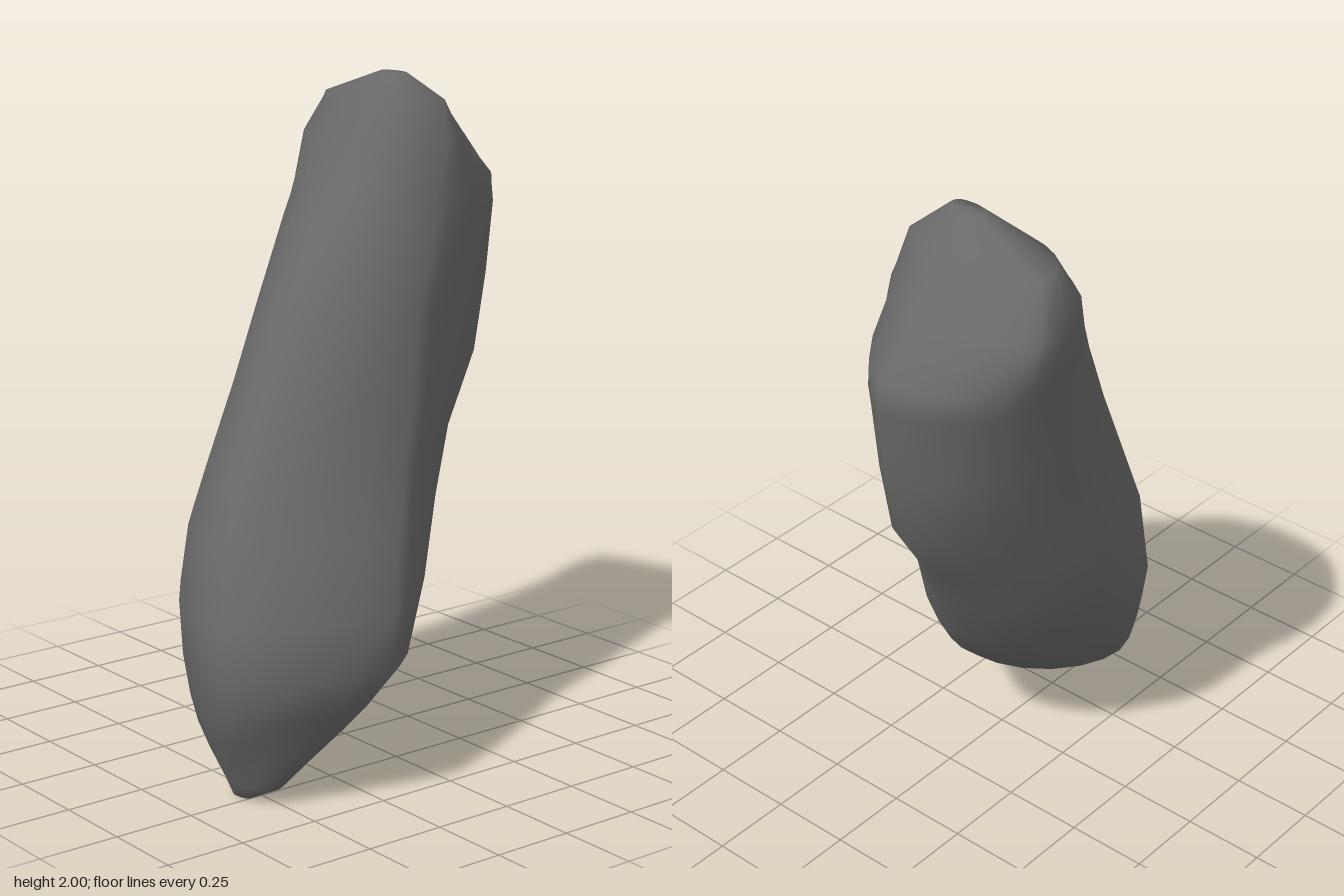
import * as THREE from 'three';

// Horizontal sections from top to bottom. Each row holds the height and the
// section's leftmost, front, rightmost and back points:
// y,  x,z (-x side),  x,z (front),  x,z (+x side),  x,z (back)
const SECTIONS = [
  [2.00, -0.17, -0.28, -0.12, -0.25, -0.06, -0.28, -0.11, -0.30],
  [1.92, -0.44, -0.33, -0.17, -0.175, 0.03, -0.35, -0.14, -0.41],
  [1.80, -0.53, -0.42, -0.17, -0.09, 0.07, -0.34, -0.16, -0.545],
  [1.66, -0.515, -0.415, -0.11, 0.01, 0.12, -0.25, -0.17, -0.69],
  [1.57, -0.495, -0.38, -0.08, 0.09, 0.15, -0.21, -0.16, -0.695],
  [1.35, -0.475, -0.30, -0.01, 0.265, 0.23, -0.09, -0.15, -0.665],
  [1.13, -0.455, -0.18, 0.06, 0.395, 0.285, -0.03, -0.17, -0.635],
  [0.92, -0.45, -0.07, 0.13, 0.525, 0.34, 0.05, -0.14, -0.49],
  [0.75, -0.44, 0.01, 0.18, 0.625, 0.42, 0.13, -0.10, -0.40],
  [0.55, -0.395, 0.13, 0.25, 0.695, 0.50, 0.21, -0.05, -0.30],
  [0.40, -0.33, 0.20, 0.27, 0.70, 0.53, 0.25, 0.00, -0.19],
  [0.28, -0.28, 0.24, 0.27, 0.68, 0.47, 0.32, 0.04, -0.07],
  [0.20, -0.20, 0.32, 0.25, 0.65, 0.43, 0.39, 0.08, 0.05],
  [0.13, -0.04, 0.42, 0.22, 0.62, 0.39, 0.45, 0.12, 0.18],
  [0.05, 0.12, 0.51, 0.21, 0.585, 0.345, 0.51, 0.19, 0.37],
  [0.00, 0.17, 0.54, 0.20, 0.56, 0.25, 0.54, 0.20, 0.52],
];
const ARC = 6; // steps per quarter of a section
const RING = ARC * 4;

// How full each corner is (left-front, front-right, right-back, back-left):
// the body has flat long sides, the head is boxier
const BODY = [0.38, 0.7, 0.2, 0.6];
const HEAD = [0.9, 1.2, 0.45, 0.65];

// Outline of a section: four conic arcs that bend towards its box corners
function sectionPoints([y, ...p]) {
  const points = [];
  const head = THREE.MathUtils.smoothstep(y, 1.3, 1.92);
  for (let q = 0; q < 4; q++) {
    const n = (q + 1) % 4;
    const a = [p[q * 2], p[q * 2 + 1]];
    const b = [p[n * 2], p[n * 2 + 1]];
    const corner = q % 2 === 0 ? [a[0], b[1]] : [b[0], a[1]];
    const weight = THREE.MathUtils.lerp(BODY[q], HEAD[q], head);
    for (let i = 0; i < ARC; i++) {
      const t = i / ARC;
      const wa = (1 - t) ** 2, wc = 2 * t * (1 - t) * weight, wb = t * t;
      const [x, z] = [0, 1].map((k) =>
        (wa * a[k] + wc * corner[k] + wb * b[k]) / (wa + wc + wb));
      points.push(x, y, z);
    }
  }
  return points;
}

function rockGeometry() {
  const positions = SECTIONS.flatMap(sectionPoints);
  const index = [];
  const last = (SECTIONS.length - 1) * RING;

  // Sides between neighbouring sections
  for (let r = 0; r < last; r += RING) {
    for (let j = 0; j < RING; j++) {
      const a = r + j, b = r + (j + 1) % RING;
      index.push(a + RING, b + RING, b, a + RING, b, a);
    }
  }
  // Small closing faces at the tip and the foot
  for (let j = 1; j < RING - 1; j++) {
    index.push(0, j, j + 1);
    index.push(last, last + j + 1, last + j);
  }

  const geometry = new THREE.BufferGeometry();
  geometry.setAttribute('position', new THREE.Float32BufferAttribute(positions, 3));
  geometry.setIndex(index);
  geometry.computeVertexNormals();
  return geometry;
}

export function createModel() {
  const group = new THREE.Group();
  group.name = 'leaningRock';
  const rock = new THREE.Mesh(
    rockGeometry(),
    new THREE.MeshStandardMaterial({ color: 0x686868 }),
  );
  rock.name = 'rock';
  group.add(rock);
  return group;
}
